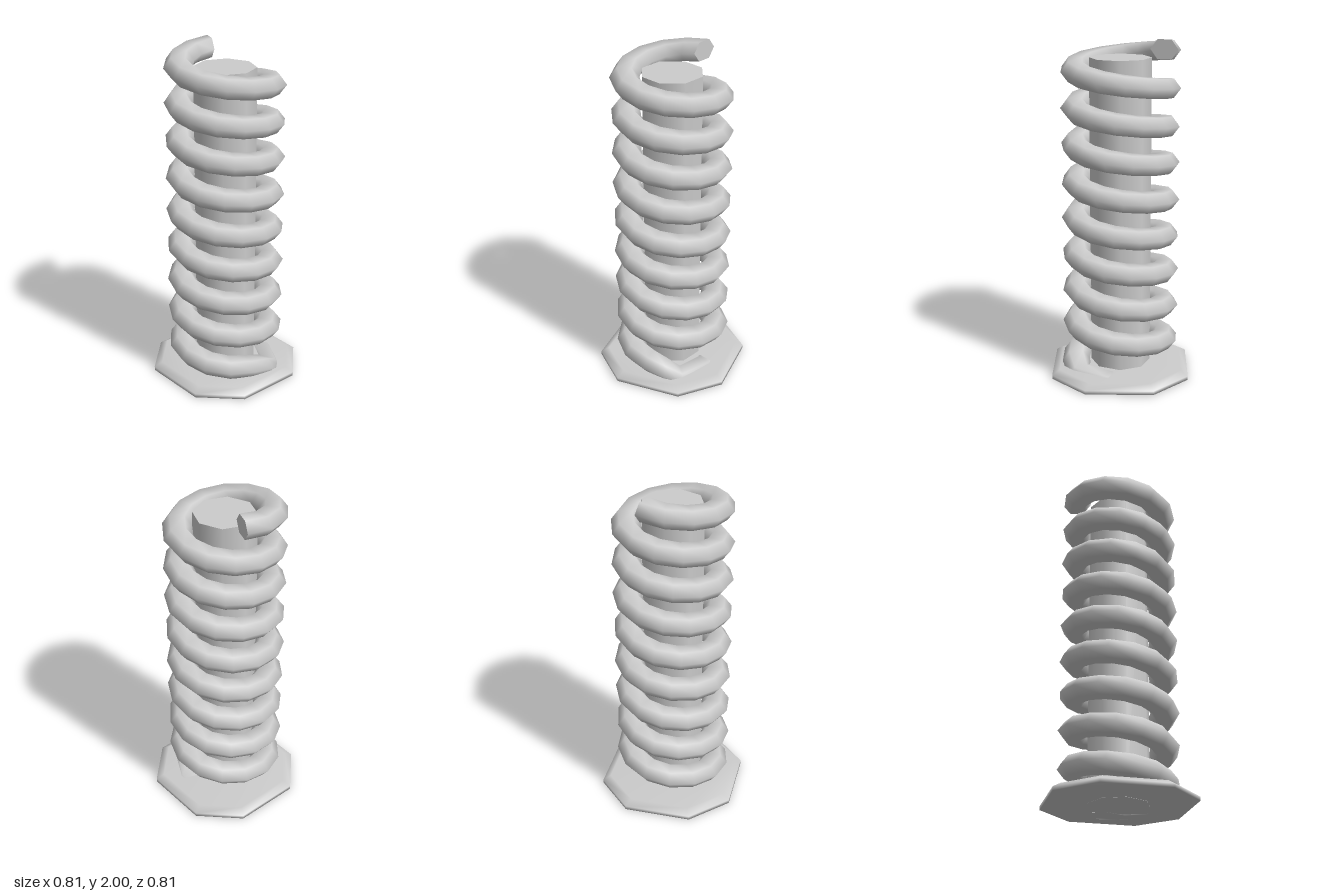
import * as THREE from 'three';

const material = new THREE.MeshStandardMaterial({ color: 0xcccccc, side: THREE.DoubleSide });

// Skin a list of closed rings and cap both ends; sharp caps get their own vertices.
function loft(rings, sharpCaps) {
  const n = rings[0].length, last = rings.length - 1;
  const points = rings.flat(), index = [];
  for (let i = 0; i < last; i++) {
    for (let j = 0; j < n; j++) {
      const k = (j + 1) % n;
      const a = i * n + j, b = i * n + k, c = a + n, d = b + n;
      index.push(a, b, d, a, d, c);
    }
  }
  for (const end of [0, last]) {
    let start = end * n;
    if (sharpCaps) {
      start = points.length;
      points.push(...rings[end]);
    }
    for (let j = 1; j < n - 1; j++) {
      if (end) index.push(start, start + j, start + j + 1);
      else index.push(start, start + j + 1, start + j);
    }
  }
  const geometry = new THREE.BufferGeometry().setFromPoints(points);
  geometry.setIndex(index);
  geometry.computeVertexNormals();
  return geometry;
}

// Six-sided wire section at angle a (degrees); tilt leans it from upright to lying flat.
function wireRing(a, radius, y, tilt = 0, halfHeight = 0.064) {
  const t = THREE.MathUtils.degToRad(a), lean = THREE.MathUtils.degToRad(tilt);
  const radial = new THREE.Vector3(Math.cos(t), 0, Math.sin(t));
  const up = new THREE.Vector3(Math.sin(t) * Math.sin(lean), Math.cos(lean), -Math.cos(t) * Math.sin(lean));
  return Array.from({ length: 6 }, (_, j) => {
    const p = j * Math.PI / 3;
    const v = radial.clone().multiplyScalar(radius + 0.083 * Math.cos(p));
    v.y = y;
    v.addScaledVector(up, halfHeight * Math.sin(p));
    v.y = Math.max(v.y, 0);
    return v;
  });
}

export function createModel() {
  const group = new THREE.Group();
  const add = (name, geometry) => {
    const mesh = new THREE.Mesh(geometry, material);
    mesh.name = name;
    group.add(mesh);
  };

  // Octagonal base plate with a bevelled upper edge
  const plateRing = (size, y) => {
    const s = size, c = size * 0.49;
    return [[c, s], [s, c], [s, -c], [c, -s], [-c, -s], [-s, -c], [-s, c], [-c, s]]
      .map(([x, z]) => new THREE.Vector3(x, y, z));
  };
  add('basePlate', loft([plateRing(0.403, 0.002), plateRing(0.403, 0.025), plateRing(0.36, 0.052)], false));

  // Eight-sided centre rod
  const rod = new THREE.CylinderGeometry(0.178, 0.178, 1.887, 8);
  rod.translate(0, 1.887 / 2 + 0.001, 0);
  add('centreRod', rod);

  // Coil spring: the lower end turns down into the plate, then the helix climbs
  const rings = [
    wireRing(-106, 0.23, 0, 90, 0.074),
    wireRing(-70, 0.25, 0.005, 15),
    wireRing(-33, 0.28, 0.012),
    wireRing(-14, 0.275, 0.07),
  ];
  const startAngle = 8, endAngle = 3081, steps = 114;
  for (let i = 0; i <= steps; i++) {
    const a = startAngle + (endAngle - startAngle) * i / steps;
    rings.push(wireRing(a, 0.262, 0.2 + 0.2163 * (a - 180) / 360));
  }
  add('coilSpring', loft(rings, true));
  return group;
}
